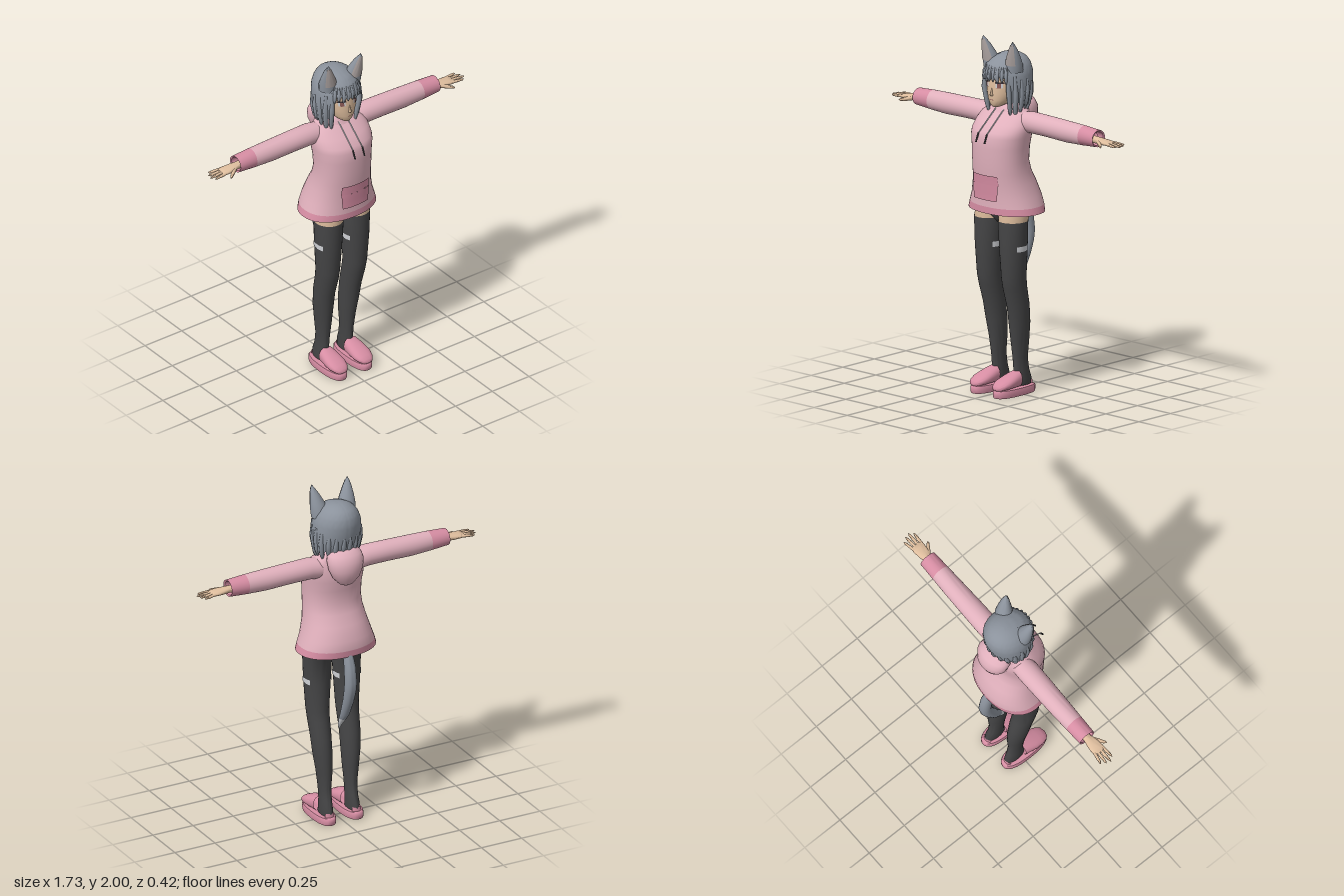
import * as THREE from 'three';
import { toCreasedNormals } from 'three/addons/utils/BufferGeometryUtils.js';

const mat = (name, color) => new THREE.MeshStandardMaterial({ name, color, side: THREE.DoubleSide });
const RAD = Math.PI / 180;

// Grid surface from a rule f(u, v) -> [x, y, z]; closed joins the u seam
function grid(f, nu, nv, closed, flip = false) {
  const pos = [], idx = [], cols = closed ? nu : nu + 1;
  for (let j = 0; j <= nv; j++) for (let i = 0; i < cols; i++) pos.push(...f(i / nu, j / nv, i, j));
  for (let j = 0; j < nv; j++) for (let i = 0; i < nu; i++) {
    const a = j * cols + i, b = j * cols + (i + 1) % cols, c = a + cols, d = b + cols;
    idx.push(...(flip ? [a, b, c, b, d, c] : [a, c, b, b, c, d]));
  }
  const g = new THREE.BufferGeometry();
  g.setAttribute('position', new THREE.Float32BufferAttribute(pos, 3));
  g.setIndex(idx);
  return g;
}

// A ring is [t, centre, radius, high, low]; sample one between given rings
function sample(rings, t) {
  let k = 0;
  while (k < rings.length - 2 && t > rings[k + 1][0]) k++;
  const a = rings[k], b = rings[k + 1];
  const f = THREE.MathUtils.clamp((t - a[0]) / (b[0] - a[0] || 1), 0, 1);
  return a.map((v, i) => v + (b[i] - v) * f);
}
const cut = (rings, t0, t1) =>
  [sample(rings, t0), ...rings.filter(r => r[0] > t0 + 0.001 && r[0] < t1 - 0.001), sample(rings, t1)];

function ringPoint([t, c, r, hi, lo], a, axis, p = 2, off = 0) {
  const pw = v => Math.sign(v) * Math.abs(v) ** (2 / p);
  const m = c + (r + off) * pw(Math.cos(a));
  const n = (hi + lo) / 2 + ((hi - lo) / 2 + off) * pw(Math.sin(a));
  return axis === 'y' ? [m, t, n] : axis === 'x' ? [t, n, m] : [m, n, t];
}

// Skin over rings; a0..a1 in degrees makes an open strip
function loft(rings, { axis = 'y', n = 28, p = 2, a0 = 0, a1 = 360, off = 0 } = {}) {
  return grid((u, v, i, j) => ringPoint(rings[j], (a0 + (a1 - a0) * u) * RAD, axis, p, off),
    n, rings.length - 1, a1 - a0 === 360, axis === 'z');
}

function mirror(geo) {
  const g = geo.clone().scale(-1, 1, 1);
  g.index.array.reverse();
  return g;
}

export function createModel() {
  const model = new THREE.Group();
  model.name = 'hoodedFigure';
  const skin = mat('skin', 0xdfbe9e), pink = mat('hoodiePink', 0xe0b0bc), rose = mat('rosePink', 0xd68da3);
  const charcoal = mat('charcoal', 0x454546), hair = mat('greyHair', 0x8b929c), pale = mat('paleGrey', 0xd2d4d8);
  const earInner = mat('innerEar', 0xa59c9a), dark = mat('darkLash', 0x3f3236), iris = mat('iris', 0x8f5c58);

  const add = (name, geo, m) => {
    const mesh = new THREE.Mesh(toCreasedNormals(geo, 0.95), m);
    mesh.name = name;
    model.add(mesh);
  };
  const pair = (name, geo, m) => {
    add(name + 'Left', geo, m);
    add(name + 'Right', mirror(geo), m);
  };

  // Hoodie body, hem and pocket
  const torso = [[1.03, 0, 0.23, 0.168, -0.172], [1.07, 0, 0.218, 0.168, -0.175], [1.12, 0, 0.2, 0.167, -0.168],
    [1.2, 0, 0.178, 0.172, -0.138], [1.26, 0, 0.168, 0.178, -0.105], [1.32, 0, 0.165, 0.182, -0.087],
    [1.4, 0, 0.168, 0.184, -0.092], [1.46, 0, 0.176, 0.183, -0.102], [1.49, 0, 0.178, 0.172, -0.103],
    [1.53, 0, 0.176, 0.13, -0.1], [1.57, 0, 0.16, 0.085, -0.092], [1.597, 0, 0.125, 0.05, -0.085],
    [1.61, 0, 0.05, 0.03, -0.07]];
  add('hoodieBody', loft(cut(torso, 1.068, 1.61), { n: 40, p: 2.2 }), pink);
  add('hoodieHem', loft(cut(torso, 1.03, 1.068), { n: 40, p: 2.2 }), rose);
  const pocket = { p: 2.2, n: 10, off: 0.008 };
  add('pocketTop', loft(cut(torso, 1.195, 1.25), { ...pocket, a0: 62, a1: 118 }), rose);
  add('pocketLower', grid((u, v) => ringPoint(sample(torso, 1.108 + 0.09 * v),
    (90 + (u - 0.5) * (42 + 12 * v)) * RAD, 'y', 2.2, 0.012), 10, 4, false), rose);

  // Hood hanging behind, and collar
  add('hood', loft([[1.445, 0, 0, -0.13, -0.13], [1.46, 0, 0.04, -0.09, -0.155], [1.5, 0, 0.078, -0.06, -0.182],
    [1.55, 0, 0.1, -0.04, -0.194], [1.6, 0, 0.107, -0.03, -0.19], [1.635, 0, 0.098, -0.03, -0.17],
    [1.658, 0, 0.07, -0.04, -0.14], [1.665, 0, 0, -0.09, -0.09]]), pink);
  add('collar', loft([[1.57, 0, 0.14, 0.08, -0.1], [1.6, 0, 0.115, 0.055, -0.11], [1.63, 0, 0.085, 0.045, -0.1],
    [1.635, 0, 0.06, 0.03, -0.08], [1.6, 0, 0.04, 0.02, -0.06]]), pink);

  // Drawstrings
  const cord = (pts, r) => new THREE.TubeGeometry(
    new THREE.CatmullRomCurve3(pts.map(p => new THREE.Vector3(...p))), 10, r, 6);
  pair('drawstring', cord([[0.03, 1.6, 0.055], [0.031, 1.53, 0.137], [0.032, 1.48, 0.194]], 0.0035), pale);
  pair('drawstringEnd', cord([[0.032, 1.485, 0.19], [0.032, 1.46, 0.2], [0.032, 1.435, 0.21]], 0.005), charcoal);

  // Sleeves and cuffs
  const sleeve = [[0.1, -0.015, 0.06, 1.59, 1.47], [0.18, -0.016, 0.064, 1.601, 1.482], [0.3, -0.016, 0.062, 1.599, 1.482],
    [0.45, -0.016, 0.058, 1.596, 1.477], [0.57, -0.016, 0.054, 1.592, 1.482], [0.68, -0.016, 0.05, 1.585, 1.49]];
  pair('sleeve', loft(cut(sleeve, 0.1, 0.57), { axis: 'x' }), pink);
  pair('cuff', loft([...cut(sleeve, 0.57, 0.68), [0.675, -0.016, 0.042, 1.575, 1.498],
    [0.63, -0.016, 0.04, 1.573, 1.5]], { axis: 'x' }), rose);

  // Hands: palm, four fingers and thumb
  pair('palm', loft([[0.6, -0.013, 0.022, 1.55, 1.51], [0.68, -0.013, 0.024, 1.547, 1.511],
    [0.72, -0.011, 0.034, 1.544, 1.512], [0.76, -0.011, 0.038, 1.54, 1.515], [0.785, -0.012, 0.034, 1.535, 1.518],
    [0.79, -0.012, 0, 1.527, 1.527]], { axis: 'x', n: 18, p: 2.4 }), skin);
  const finger = (x0, z0, x1, z1, r, y1) => loft([0, 0.5, 0.85, 1].map((f, i) => {
    const y = 1.528 + (y1 - 1.528) * f, s = r * [1, 0.95, 0.7, 0][i];
    return [x0 + (x1 - x0) * f, z0 + (z1 - z0) * f, s, y + s * 0.9, y - s * 0.9];
  }), { axis: 'x', n: 10 });
  [[0.017, 0.848, 0.024], [-0.002, 0.867, 0], [-0.02, 0.86, -0.026], [-0.037, 0.842, -0.052]].forEach(([z0, x1, z1], i) =>
    pair('finger' + (i + 1), finger(0.765, z0, x1, z1, 0.0095, 1.524), skin));
  pair('thumb', finger(0.695, 0.004, 0.765, 0.055, 0.014, 1.515), skin);

  // Legs: skin above, stocking below, pale patches
  const leg = [[0.045, 0.083, 0.03, 0.03, -0.1], [0.08, 0.083, 0.033, 0.025, -0.1], [0.13, 0.081, 0.031, 0.022, -0.083],
    [0.2, 0.081, 0.033, 0.027, -0.072], [0.3, 0.082, 0.043, 0.04, -0.078], [0.4, 0.087, 0.052, 0.056, -0.077],
    [0.5, 0.09, 0.056, 0.073, -0.066], [0.6, 0.091, 0.06, 0.102, -0.045], [0.66, 0.092, 0.063, 0.114, -0.036],
    [0.83, 0.092, 0.074, 0.125, -0.04], [0.98, 0.09, 0.082, 0.129, -0.042], [1.03, 0.09, 0.083, 0.128, -0.07],
    [1.15, 0.088, 0.083, 0.115, -0.09]];
  pair('stocking', loft(cut(leg, 0.045, 0.985)), charcoal);
  pair('thigh', loft(cut(leg, 0.975, 1.15), { off: -0.003 }), skin);
  const patchRows = cut(leg, 0.82, 0.85);
  pair('outerPatch', loft(patchRows, { n: 8, off: 0.003, a0: -30, a1: 30 }), pale);
  pair('innerPatch', loft(patchRows, { n: 8, off: 0.003, a0: 150, a1: 210 }), pale);
  add('briefs', loft([[0.965, 0, 0.02, 0.07, -0.03], [1, 0, 0.058, 0.1, -0.04], [1.04, 0, 0.1, 0.11, -0.06],
    [1.15, 0, 0.14, 0.11, -0.08]]), charcoal);

  // Slippers
  const sole = (y, k) => [y, 0.085, 0.056 * k, 0.03 + 0.15 * k, 0.03 - 0.15 * k];
  pair('sole', loft([sole(0, 0), sole(0, 0.97), sole(0.01, 1), sole(0.035, 1), sole(0.042, 0.96), sole(0.042, 0)],
    { p: 2.5, n: 36 }), rose);
  pair('slipperUpper', loft([[0.01, 0.084, 0.046, 0.132, 0.04], [0.04, 0.084, 0.051, 0.125, 0.04],
    [0.08, 0.085, 0.055, 0.112, 0.04], [0.12, 0.085, 0.055, 0.098, 0.04], [0.15, 0.085, 0.046, 0.084, 0.04],
    [0.17, 0.085, 0.031, 0.07, 0.04], [0.18, 0.085, 0, 0.05, 0.05]], { axis: 'z', p: 2.3 }), rose);
  pair('heelStrap', loft([sole(0.04, 0.88), sole(0.065, 0.86)], { p: 2.5, n: 10, a0: 240, a1: 300 }), rose);

  // Tail
  const tail = [[0.54, 0, 0.003, -0.036, -0.044], [0.57, 0, 0.012, -0.04, -0.062], [0.61, 0, 0.018, -0.055, -0.098],
    [0.66, 0, 0.025, -0.078, -0.138], [0.75, 0, 0.03, -0.112, -0.18], [0.82, 0, 0.033, -0.13, -0.203],
    [0.88, 0, 0.034, -0.138, -0.211], [0.97, 0, 0.032, -0.128, -0.2], [1.05, 0, 0.026, -0.105, -0.168],
    [1.12, 0, 0.02, -0.07, -0.125]];
  add('tail', loft(cut(tail, 0.62, 1.12), { n: 18 }), hair);
  add('tailTip', loft(cut(tail, 0.54, 0.62), { n: 18 }), pale);

  // Head, neck and face
  const head = [[1.615, 0, 0, 0.085, 0.085], [1.62, 0, 0.022, 0.105, 0.05], [1.635, 0, 0.045, 0.114, 0.01],
    [1.66, 0, 0.068, 0.118, -0.04], [1.7, 0, 0.087, 0.119, -0.08], [1.76, 0, 0.098, 0.117, -0.1],
    [1.82, 0, 0.098, 0.108, -0.1], [1.86, 0, 0.06, 0.07, -0.07], [1.87, 0, 0, 0, 0]];
  add('head', loft(head, { n: 36 }), skin);
  add('neck', loft([[1.56, 0, 0.045, 0.03, -0.055], [1.68, 0, 0.042, 0.035, -0.05]]), skin);
  add('nose', loft([[1.683, 0, 0.009, 0.124, 0.1], [1.692, 0, 0.009, 0.133, 0.1], [1.73, 0, 0.004, 0.119, 0.1]], { n: 10 }), skin);
  const face = (y0, y1, a0, a1, off) => loft(cut(head, y0, y1), { n: 8, a0, a1, off });
  pair('eyeWhite', face(1.732, 1.758, 50, 74, 0.003), pale);
  pair('iris', face(1.731, 1.76, 56, 69, 0.004), iris);
  pair('lash', face(1.757, 1.766, 47, 76, 0.005), dark);
  add('mouth', face(1.66, 1.664, 78, 102, 0.003), iris);

  // Hair cap with short fringe in front and ragged ends behind
  const cap = [[1.57, 0, 0.118, 0.085, -0.1], [1.62, 0, 0.128, 0.1, -0.115], [1.7, 0, 0.138, 0.12, -0.137],
    [1.76, 0, 0.137, 0.128, -0.148], [1.81, 0, 0.131, 0.127, -0.151], [1.85, 0, 0.115, 0.11, -0.143],
    [1.88, 0, 0.09, 0.078, -0.123], [1.9, 0, 0.055, 0.03, -0.09], [1.908, 0, 0.025, -0.01, -0.06],
    [1.91, 0, 0, -0.035, -0.035]];
  add('hairCap', grid((u, v, i) => {
    const a = 360 * u, fringe = a > 47 && a < 133;
    const low = (fringe ? 1.775 : 1.625) + [0, 0.012, 0.028, 0.01][i % 4];
    return ringPoint(sample(cap, low + (1.91 - low) * (1 - (1 - v) ** 2)), a * RAD, 'y');
  }, 96, 20, true), hair);

  // Hair locks hanging from the cap at a given angle
  const lock = (deg, top, low, w, off) => loft([0, 0.2, 0.6, 1].map((f, i) => {
    const y = low + (top - low) * f, [x, , z] = ringPoint(sample(cap, y), deg * RAD, 'y', 2, off);
    const r = w * [0.25, 0.85, 1, 0.6][i];
    return [y, x, r, z + r, z - r];
  }), { n: 10 });
  [[45, 1.82, 1.56, 0.015], [29, 1.8, 1.555, 0.017], [12, 1.78, 1.585, 0.016], [-6, 1.78, 1.61, 0.017],
    [-25, 1.76, 1.595, 0.017], [-45, 1.74, 1.615, 0.017], [-63, 1.74, 1.6, 0.016], [-82, 1.74, 1.61, 0.016]]
    .forEach(([deg, top, low, w], i) => pair('hairLock' + (i + 1), loft ? lock(deg, top, low, w, -0.006) : null, hair));
  [84, 72, 60, 50].forEach((deg, i) => pair('fringeLock' + (i + 1), lock(deg, 1.85, 1.765 - 0.008 * (i % 2), 0.011, -0.004), hair));

  // Animal ears with inner faces
  const ear = [[1.82, 0.08, 0.052, 0.075, -0.025], [1.86, 0.085, 0.05, 0.077, -0.018], [1.9, 0.092, 0.041, 0.078, 0.002],
    [1.95, 0.102, 0.025, 0.077, 0.03], [1.98, 0.108, 0.012, 0.075, 0.053], [2, 0.111, 0, 0.07, 0.07]];
  pair('ear', loft(ear, { n: 20 }), hair);
  pair('innerEar', loft(cut(ear, 1.86, 1.98), { n: 10, a0: 40, a1: 140, off: 0.002 }), earInner);
  return model;
}
